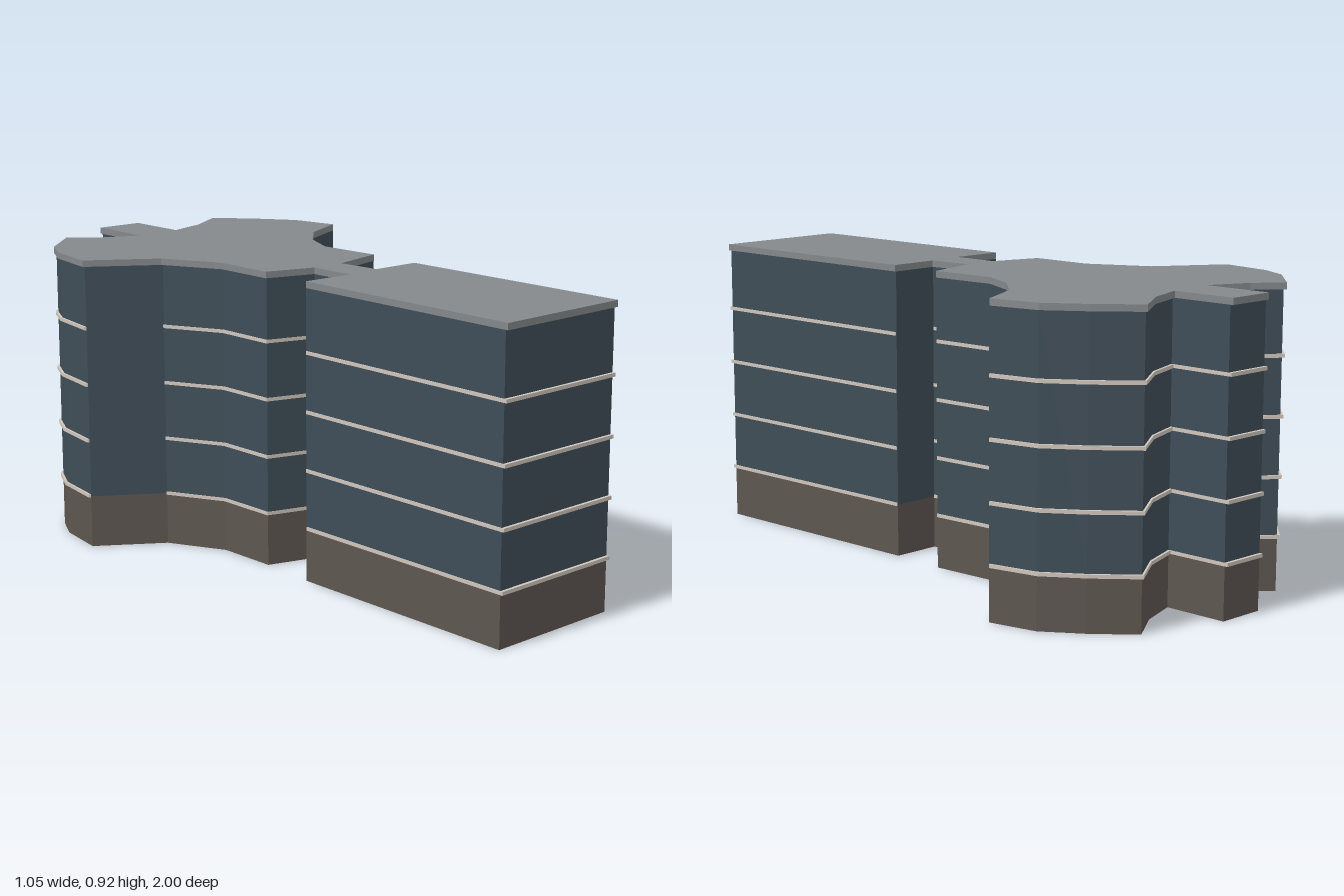
import * as THREE from 'three';

// Floor plan as [x, z], running from the rear stub around the left side
const PLAN = [
  [-0.105, -1], [0.05, -0.995], [0.05, -0.79], [0.18, -0.83], [0.31, -0.91],
  [0.41, -0.795], [0.49, -0.68], [0.521, -0.525], [0.365, -0.45], [0.26, -0.34],
  [0.2, -0.215], [0.211, 0], [0.03, 0.045], [0.04, 0.19], [0.2, 0.19],
  [0.205, 0.99], [-0.255, 1], [-0.25, 0.195], [-0.08, 0.2], [-0.08, 0.045],
  [-0.235, 0], [-0.235, -0.205], [-0.325, -0.39], [-0.526, -0.525],
  [-0.495, -0.695], [-0.445, -0.79], [-0.31, -0.91], [-0.23, -0.84], [-0.105, -0.78],
];
const WALL_SCALE = 0.99; // walls sit slightly inside the bands and roof

function material(name, color) {
  const m = new THREE.MeshStandardMaterial({ color });
  m.name = name;
  return m;
}

// Upright slab of the floor plan between two heights
function slab(name, y0, y1, scale, mat) {
  const shape = new THREE.Shape(PLAN.map(([x, z]) => new THREE.Vector2(x * scale, -z * scale)));
  const geo = new THREE.ExtrudeGeometry(shape, { depth: y1 - y0, bevelEnabled: false });
  geo.rotateX(-Math.PI / 2);
  geo.translate(0, y0, 0);
  const mesh = new THREE.Mesh(geo, mat);
  mesh.name = name;
  return mesh;
}

export function createModel() {
  const stone = material('brown stone', 0x5d5650);
  const glass = material('blue grey glass', 0x3f4d57);
  const trim = material('pale trim', 0xcfc6bc);
  const roofing = material('grey roofing', 0x84888b);

  const building = new THREE.Group();
  building.name = 'building';

  // Ground floor, upper floors and roof
  building.add(slab('groundFloor', 0, 0.165, WALL_SCALE, stone));
  building.add(slab('upperFloors', 0.165, 0.899, WALL_SCALE, glass));
  building.add(slab('roof', 0.899, 0.919, 1, roofing));

  // Thin bands between the floors
  for (let i = 0; i < 4; i++) {
    const y = 0.16 + i * 0.18;
    building.add(slab('floorBand' + (i + 1), y, y + 0.011, 1, trim));
  }
  return building;
}
